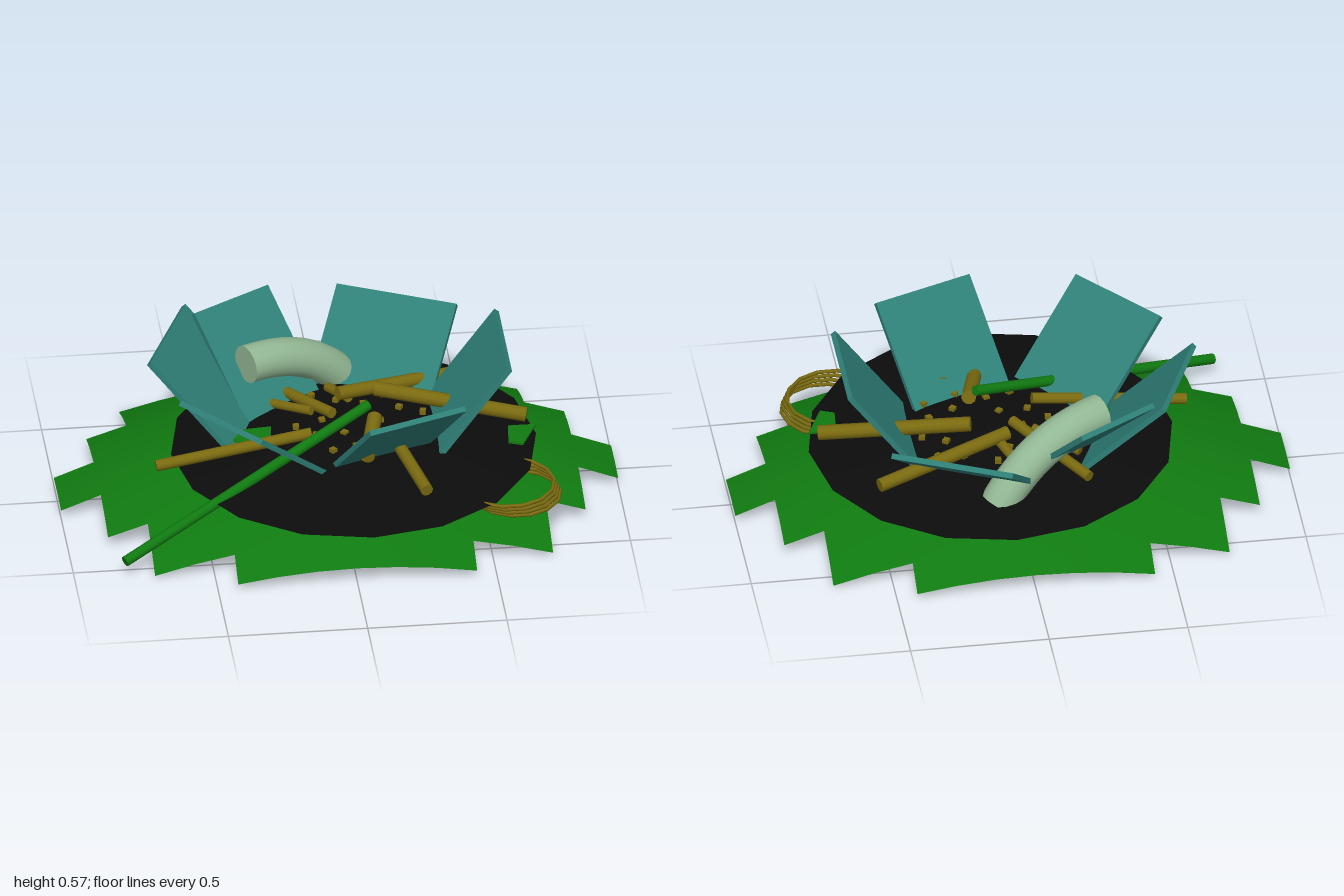
import * as THREE from 'three';

const V = (x, y, z) => new THREE.Vector3(x, y, z);
const mat = (color) => new THREE.MeshStandardMaterial({ color });

export function createModel() {
  const model = new THREE.Group();
  const teal = mat(0x2f8078), cream = mat(0x93b894), wood = mat(0x7a6a10);
  const green = mat(0x107a10), black = mat(0x0c0c0c);
  green.side = black.side = cream.side = THREE.DoubleSide;

  function add(name, geometry, material) {
    const mesh = new THREE.Mesh(geometry, material);
    mesh.name = name;
    model.add(mesh);
    return mesh;
  }

  // Rod or log between two points
  function rod(name, a, b, radius, material) {
    const mesh = add(name, new THREE.CylinderGeometry(radius, radius, a.distanceTo(b), 10), material);
    mesh.position.copy(a).lerp(b, 0.5);
    mesh.quaternion.setFromUnitVectors(V(0, 1, 0), b.clone().sub(a).normalize());
  }

  // Domed ground: square cells with a stepped outline
  const reach = [7, 6, 6, 5, 5, 3];
  const dx = 1 / 7, dz = 0.1145;
  const points = [], faces = [];
  for (let j = -6; j <= 6; j++) {
    for (let i = -7; i <= 7; i++) {
      const x = i * dx, z = j * dz;
      points.push(x, 0.242 - 0.21 * x * x - 0.385 * z * z, z);
    }
  }
  for (let j = -6; j < 6; j++) {
    const n = reach[j < 0 ? -j - 1 : j];
    for (let i = -n; i < n; i++) {
      const a = (j + 6) * 15 + i + 7;
      faces.push(a, a + 15, a + 1, a + 1, a + 15, a + 16);
    }
  }
  const ground = new THREE.BufferGeometry();
  ground.setAttribute('position', new THREE.Float32BufferAttribute(points, 3));
  ground.setIndex(faces);
  ground.computeVertexNormals();
  add('ground', ground, green);

  // Scorched low mound
  const mound = add('scorchedMound', new THREE.LatheGeometry(
    [[0.655, 0.18], [0.25, 0.248], [0, 0.256]].map(([r, y]) => new THREE.Vector2(r, y)), 16), black);
  mound.position.set(0.06, 0, 0.025);

  // Hull panels: middle of the outer top edge, inward run per length, width
  const panels = [
    [V(0.6, 0.56, 0), V(-0.41, -0.56, 0), 0.42],
    [V(0.24, 0.53, 0.475), V(-0.17, -0.49, -0.46), 0.38],
    [V(-0.455, 0.505, 0.365), V(0.4, -0.43, -0.34), 0.4],
    [V(-0.585, 0.535, -0.215), V(0.44, -0.5, 0.19), 0.425],
    [V(-0.33, 0.525, -0.445), V(0.25, -0.48, 0.42), 0.33],
    [V(0.28, 0.455, -0.53), V(-0.23, -0.42, 0.5), 0.45],
  ];
  for (const [top, run, width] of panels) {
    const mesh = add('hullPanel', new THREE.BoxGeometry(width, 0.69, 0.02), teal);
    const up = run.clone().normalize().negate();
    const side = V(0, 1, 0).cross(up).normalize();
    mesh.quaternion.setFromRotationMatrix(
      new THREE.Matrix4().makeBasis(side, up, side.clone().cross(up)));
    mesh.position.copy(top).addScaledVector(up, -0.345);
  }

  // Arched pipe bending down into the mound, with a closed upper end
  const start = V(-0.3, 0.4, -0.2), bend = V(-0.05, 0.4, -0.33);
  const arch = new THREE.QuadraticBezierCurve3(start, bend, V(0.09, 0.18, -0.395));
  add('archedPipe', new THREE.TubeGeometry(arch, 20, 0.07, 16), cream);
  const cap = add('pipeCap', new THREE.CircleGeometry(0.07, 16), cream);
  cap.position.copy(start);
  cap.quaternion.setFromUnitVectors(V(0, 0, 1), start.clone().sub(bend).normalize());

  // Fallen logs
  const logs = [
    [V(-0.66, 0.2, 0.13), V(-0.1, 0.28, 0.1), 0.021],
    [V(0.15, 0.33, -0.1), V(0.68, 0.26, 0.025), 0.027],
    [V(0.02, 0.3, -0.13), V(0.51, 0.25, -0.32), 0.025],
    [V(0.13, 0.32, 0.08), V(0.08, 0.275, 0.28), 0.027],
    [V(0.2, 0.285, 0.23), V(0.27, 0.255, 0.5), 0.023],
    [V(-0.24, 0.24, -0.36), V(-0.01, 0.28, -0.03), 0.02],
    [V(-0.23, 0.24, -0.2), V(-0.08, 0.27, -0.07), 0.017],
    [V(0, 0.25, -0.26), V(0.06, 0.28, -0.13), 0.018],
  ];
  for (const [a, b, r] of logs) rod('log', a, b, r, wood);

  // Long green pole leaning across the mound
  rod('pole', V(-0.82, 0.065, 0.555), V(0.11, 0.36, 0.06), 0.019, green);

  // Coil of cable
  for (let i = 0; i < 4; i++) {
    const ring = add('cableRing', new THREE.TorusGeometry(0.158 + i * 0.004, 0.007, 6, 14), wood);
    ring.rotation.x = Math.PI / 2;
    ring.position.set(0.607 - i * 0.011, 0.132 + i * 0.0155, 0.35);
  }

  // Flat green shards on the mound
  const shards = [
    [0.232, [[-0.38, 0.05], [-0.33, -0.02], [-0.23, -0.03], [-0.24, 0.1]]],
    [0.232, [[0.6, 0.17], [0.61, 0.06], [0.71, 0.06], [0.65, 0.19]]],
  ];
  for (const [y, corners] of shards) {
    const shape = new THREE.Shape(corners.map(([x, z]) => new THREE.Vector2(x, -z)));
    const shard = add('shard', new THREE.ExtrudeGeometry(shape, { depth: 0.008, bevelEnabled: false }), green);
    shard.rotation.x = -Math.PI / 2;
    shard.position.y = y;
  }

  // Scattered chips on the mound
  for (let i = 0; i < 22; i++) {
    const a = i * 2.4, r = 0.06 + 0.045 * Math.sqrt(i);
    const chip = add('chip', new THREE.BoxGeometry(0.022, 0.018, 0.022), wood);
    chip.position.set(0.1 + r * Math.cos(a), 0.255, r * Math.sin(a));
    chip.rotation.y = a;
  }
  return model;
}
